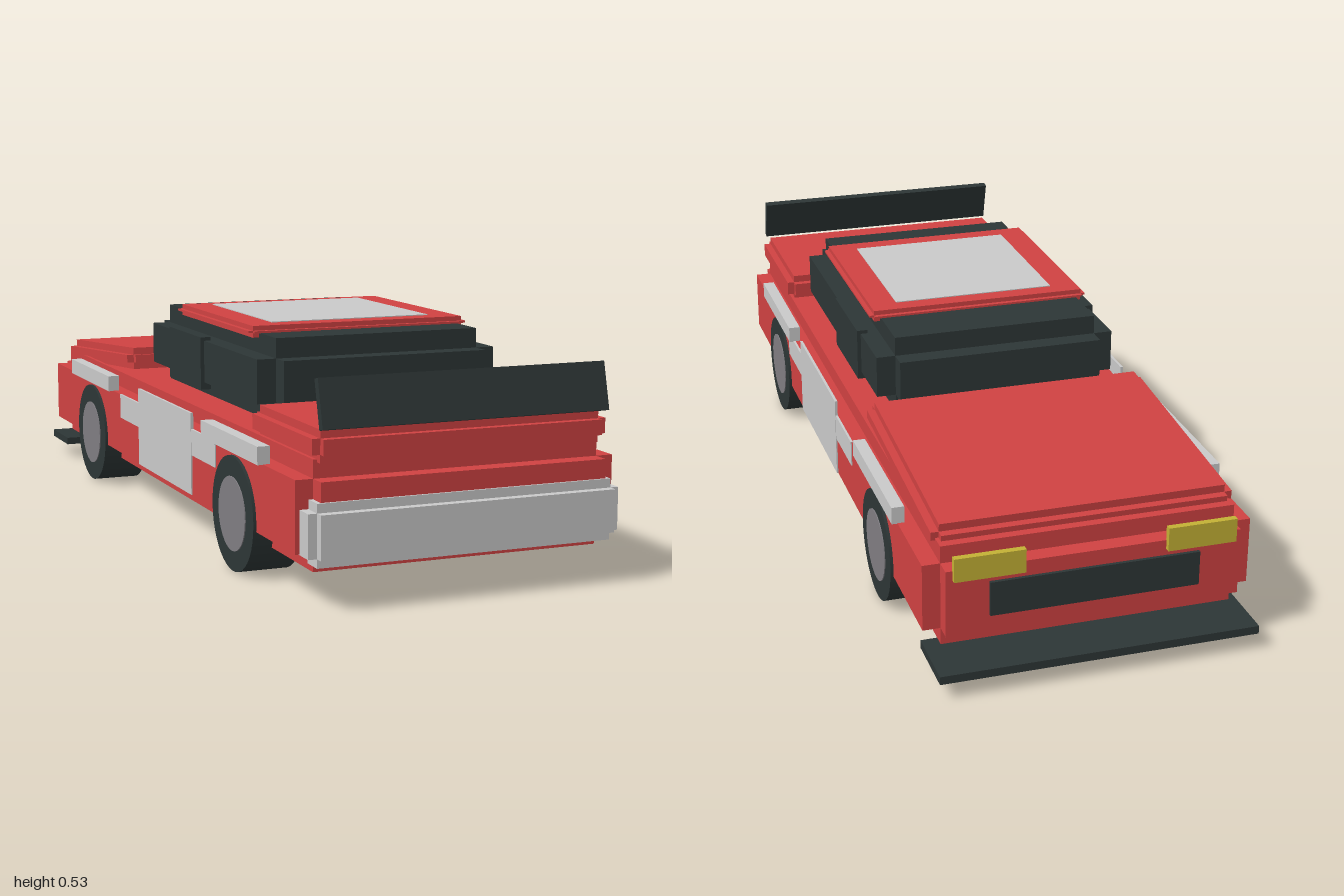
import * as THREE from 'three';

const mat = (name, color) => {
  const m = new THREE.MeshStandardMaterial({ color });
  m.name = name;
  return m;
};

export function createModel() {
  const red = mat('red paint', 0xd04242);
  const dark = mat('dark trim', 0x2d3636);
  const silver = mat('silver panels', 0xcacaca);
  const hubGrey = mat('hub grey', 0x807d82);
  const yellow = mat('headlight yellow', 0xc4b135);

  const car = new THREE.Group();
  car.name = 'car';

  // Plain box given by its limits on each axis
  const box = (name, material, [x0, x1], [y0, y1], [z0, z1], parent = car) => {
    const mesh = new THREE.Mesh(new THREE.BoxGeometry(x1 - x0, y1 - y0, z1 - z0), material);
    mesh.position.set((x0 + x1) / 2, (y0 + y1) / 2, (z0 + z1) / 2);
    mesh.name = name;
    parent.add(mesh);
    return mesh;
  };

  // Box with notched edges: three crossed boxes, each reaching full size on one axis
  const notchedBox = (name, material, size, centre, notch) => {
    const group = new THREE.Group();
    group.name = name;
    for (let axis = 0; axis < 3; axis++) {
      const s = size.map((v, i) => (i === axis ? v : v - 2 * notch));
      const mesh = new THREE.Mesh(new THREE.BoxGeometry(...s), material);
      mesh.name = name + 'Block';
      group.add(mesh);
    }
    group.position.set(...centre);
    car.add(group);
    return group;
  };

  // Body shell, lids, cabin and roof
  notchedBox('body', red, [0.746, 0.236, 1.915], [0, 0.193, 0.0175], 0.04);
  notchedBox('trunkLid', red, [0.686, 0.07, 0.375], [0, 0.34, 0.783], 0.018);
  notchedBox('hood', red, [0.686, 0.056, 0.59], [0, 0.337, -0.585], 0.018).rotation.x = -0.078;
  notchedBox('cabin', dark, [0.594, 0.193, 0.84], [0, 0.411, 0.15], 0.046);
  notchedBox('roof', red, [0.554, 0.027, 0.52], [0, 0.51, 0.168], 0.011);
  box('roofPanel', silver, [-0.2, 0.2], [0.518, 0.5255], [-0.04, 0.37]);

  // Bumper, wing and splitter
  notchedBox('bumper', silver, [0.726, 0.135, 0.09], [0, 0.161, 0.955], 0.02);
  const wing = box('wing', dark, [-0.333, 0.333], [0.376, 0.482], [0.953, 0.971]);
  wing.rotation.x = -0.25;
  box('splitter', dark, [-0.363, 0.363], [0.039, 0.058], [-1, -0.845]);
  box('grille', dark, [-0.237, 0.237], [0.155, 0.235], [-0.948, -0.939]);

  // Parts repeated on both sides
  for (const s of [1, -1]) {
    const span = (a, b) => (s > 0 ? [a, b] : [-b, -a]);
    box('headlight', yellow, span(0.16, 0.318), [0.25, 0.305], [-0.953, -0.938]);
    box('sideWindow', dark, span(0.28, 0.306), [0.343, 0.47], [-0.065, 0.17]);
    box('doorPanel', silver, span(0.37, 0.3765), [0.115, 0.31], [-0.11, 0.297]);
    box('sideStripe', silver, span(0.37, 0.3755), [0.21, 0.272], [-0.27, 0.46]);
    box('fenderTrim', silver, span(0.357, 0.386), [0.27, 0.31], [0.395, 0.755]);
    box('fenderTrim', silver, span(0.357, 0.386), [0.27, 0.31], [-0.7, -0.34]);

    // Wheels
    for (const z of [0.585, -0.527]) {
      const wheel = new THREE.Group();
      wheel.name = 'wheel';
      const tire = new THREE.Mesh(new THREE.CylinderGeometry(0.13, 0.13, 0.115, 40), dark);
      tire.name = 'tire';
      const hub = new THREE.Mesh(new THREE.CylinderGeometry(0.084, 0.084, 0.008, 32), hubGrey);
      hub.name = 'hub';
      hub.position.y = -s * 0.0558;
      wheel.add(tire, hub);
      wheel.rotation.z = Math.PI / 2;
      wheel.position.set(s * 0.3225, 0.13, z);
      car.add(wheel);
    }
  }
  return car;
}
